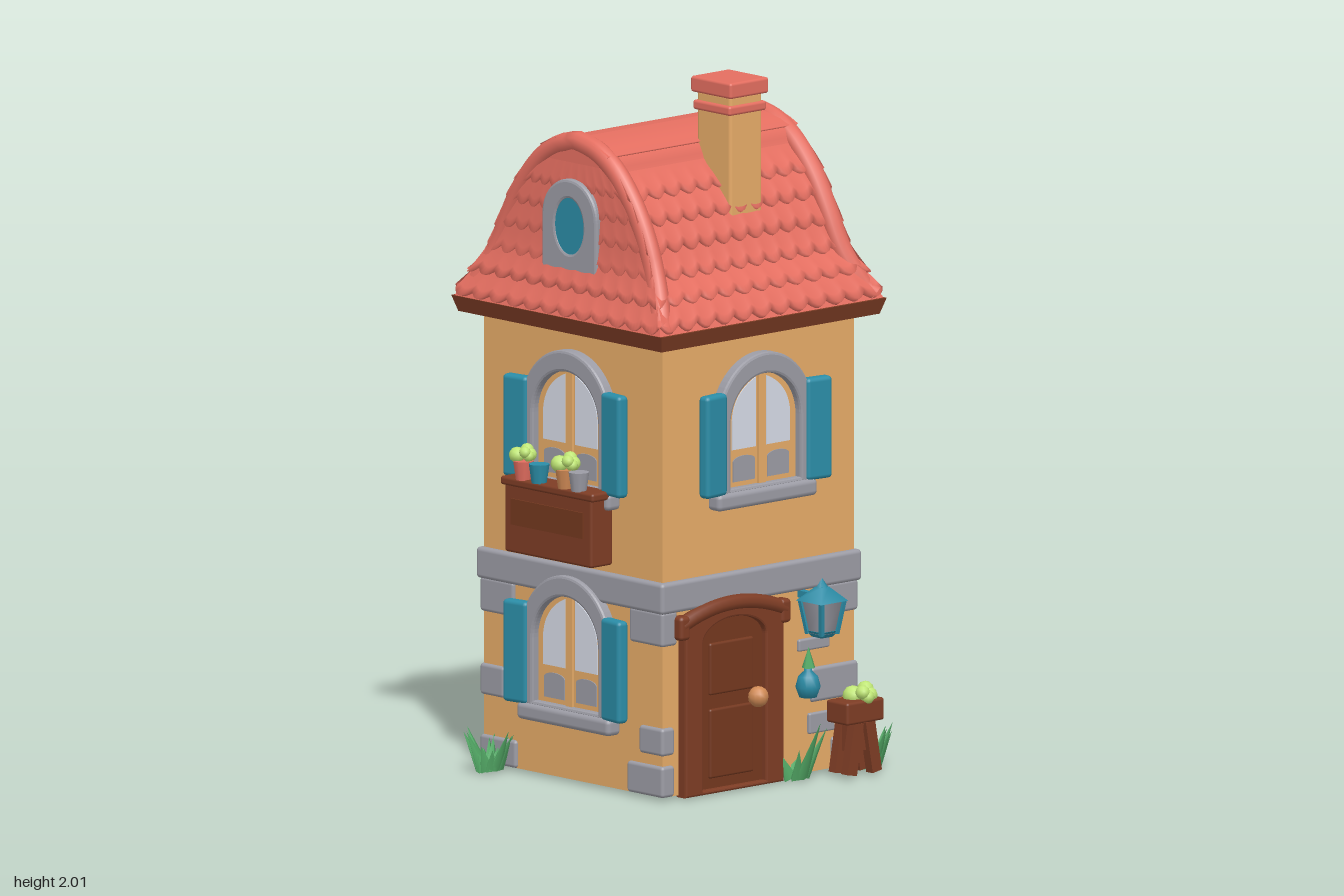
import * as THREE from 'three';
import { RoundedBoxGeometry } from 'three/addons/geometries/RoundedBoxGeometry.js';

const mat = (name, color, side = THREE.FrontSide) => {
  const m = new THREE.MeshStandardMaterial({ color, side });
  m.name = name;
  return m;
};
const M = {
  wall: mat('plaster', 0xf0b26c), roof: mat('roofRed', 0xe46e60, THREE.DoubleSide),
  stone: mat('stone', 0x9c9ca5), teal: mat('teal', 0x2b8da7), wood: mat('wood', 0x7e3d25),
  door: mat('darkWood', 0x74381f), glass: mat('glass', 0xdfe4f0), leaf: mat('leaf', 0x55ad68, THREE.DoubleSide),
  lime: mat('lime', 0xc4ec78), copper: mat('copper', 0xd08a55),
};

function add(parent, name, geo, material, x = 0, y = 0, z = 0) {
  const mesh = new THREE.Mesh(geo, material);
  mesh.name = name;
  mesh.position.set(x, y, z);
  parent.add(mesh);
  return mesh;
}
const rbox = (w, h, d, r = 0.012) => new RoundedBoxGeometry(w, h, d, 2, Math.min(r, w / 3, h / 3, d / 3));
const box = (w, h, d) => new THREE.BoxGeometry(w, h, d);
const group = (parent, name, x = 0, y = 0, z = 0) => {
  const g = new THREE.Group();
  g.name = name;
  g.position.set(x, y, z);
  parent.add(g);
  return g;
};

// Upright rectangle with an elliptical top
function arch(w, y0, spring, rise, Type = THREE.Shape) {
  const s = new Type();
  s.moveTo(-w, y0);
  s.lineTo(w, y0);
  s.lineTo(w, spring);
  s.absellipse(0, spring, w, rise, 0, Math.PI, false);
  s.closePath();
  return s;
}
const ellipse = (rx, ry, y, Type = THREE.Shape) => new Type().absellipse(0, y, rx, ry, 0, Math.PI * 2, false);
function extrude(shape, depth, bevel = 0, hole) {
  if (hole) shape.holes.push(hole);
  return new THREE.ExtrudeGeometry(shape, {
    depth, curveSegments: 18, bevelEnabled: bevel > 0, bevelSize: bevel, bevelThickness: bevel, bevelSegments: 2,
  });
}

// Arched window with shutters; y = 0 is the bottom of the shutters
function windowUnit(parent, y) {
  const g = group(parent, 'window', 0, y, 0.37);
  add(g, 'stoneArch', extrude(arch(0.178, 0, 0.19, 0.188), 0.026, 0.008, arch(0.143, 0.0, 0.19, 0.143, THREE.Path)), M.stone);
  add(g, 'windowFrame', extrude(arch(0.142, -0.01, 0.19, 0.142), 0.01), M.wall);
  for (const s of [-1, 1]) {
    const pane = new THREE.Shape();
    pane.moveTo(s * 0.02, 0.115);
    pane.lineTo(s * 0.112, 0.115);
    pane.lineTo(s * 0.112, 0.2);
    pane.quadraticCurveTo(s * 0.105, 0.28, s * 0.02, 0.315);
    pane.closePath();
    add(g, 'glassPane', extrude(pane, 0.004), M.glass, 0, 0, 0.009);
    add(g, 'lowerPanel', extrude(arch(0.042, 0.022, 0.08, 0.015), 0.004), M.stone, s * 0.066, 0, 0.009);
    const sh = add(g, 'shutter', rbox(0.09, 0.295, 0.038, 0.018), M.teal, s * 0.2, 0.142, 0.028);
    sh.rotation.y = s * -0.12;
  }
  add(g, 'mullion', box(0.026, 0.33, 0.018), M.wall, 0, 0.16, 0.009);
  add(g, 'sill', rbox(0.385, 0.05, 0.055, 0.015), M.stone, 0, -0.025, 0.018);
}

// Roof outline from eave to ridge: half width, height, half depth
const roofCurve = new THREE.CatmullRomCurve3([
  [0.432, 1.345, 0.427], [0.402, 1.415, 0.387], [0.378, 1.5, 0.342], [0.37, 1.6, 0.298],
  [0.368, 1.7, 0.24], [0.366, 1.79, 0.158], [0.365, 1.835, 0.08], [0.365, 1.85, 0],
].map((p) => new THREE.Vector3(...p)));

// One strip of roof on one side; its lower edge may be scalloped and lifted
function roofStrip(angle, gable, t0, t1, lift, scallop, shift) {
  const segV = lift ? 5 : 24;
  const geo = new THREE.PlaneGeometry(2, 1, 72, segV);
  const pos = geo.attributes.position;
  for (let i = 0; i < pos.count; i++) {
    const u = pos.getX(i);
    const row = Math.round((pos.getY(i) + 0.5) * segV);
    const v = lift ? Math.max(0, row - 1) / (segV - 1) : row / segV;
    const off = lift && row > 0 ? lift * (1 - v) : 0;
    const wave = scallop * (Math.abs(Math.sin((u * 6 + shift) * Math.PI)) - 0.4);
    const t = THREE.MathUtils.clamp(t0 + (t1 - t0) * v - wave * (1 - v), 0, 1);
    const p = roofCurve.getPointAt(t);
    // Slopes sink a little between the gable rims
    const sink = gable ? 0 : 0.024 * THREE.MathUtils.smoothstep(t, 0.1, 0.3) * (1 - THREE.MathUtils.smoothstep(t, 0.7, 0.8));
    const side = gable ? p.z : p.x, out = gable ? p.x : p.z;
    pos.setXYZ(i, u * (side + off * 0.3), p.y + off * (gable ? 0.2 : 0.6) - sink * 0.5, out + off * 0.8 - sink);
  }
  geo.rotateY(angle);
  geo.computeVertexNormals();
  return geo;
}

function tuft(parent, x, z, count, height) {
  const g = group(parent, 'grassTuft', x, 0, z);
  for (let i = 0; i < count; i++) {
    const a = i * 2.4, h = height * (0.7 + 0.3 * Math.cos(i * 1.7));
    const geo = new THREE.ConeGeometry(0.023, h, 5).scale(1, 1, 0.5).translate(0, h / 2, 0);
    const blade = add(g, 'blade', geo, M.leaf, Math.sin(a) * 0.024, 0, Math.cos(a) * 0.024);
    blade.rotation.set(Math.cos(a) * 0.45, 0, -Math.sin(a) * 0.45);
  }
}
function foliage(parent, x, y, z, r) {
  for (let i = 0; i < 5; i++) {
    add(parent, 'foliage', new THREE.IcosahedronGeometry(r * (0.6 + 0.12 * (i % 3)), 1), M.lime,
      x + Math.sin(i * 1.9) * r * 0.7, y + (i % 2) * r * 0.4, z + Math.cos(i * 1.9) * r * 0.7);
  }
}

export function createModel() {
  const model = new THREE.Group();
  model.name = 'cottage';
  const house = group(model, 'house', 0.02, 0, -0.04);

  // Walls and stone band
  add(house, 'walls', box(0.74, 1.32, 0.74), M.wall, 0, 0.66, 0);
  add(house, 'stoneBand', rbox(0.776, 0.09, 0.776), M.stone, 0, 0.575, 0);

  // Corner stones: side x, side z, height, length along x, along z, thickness
  for (const [sx, sz, y, wx, wz, h] of [
    [1, 1, 0.045, 0.1, 0.17, 0.09], [1, 1, 0.25, 0.18, 0.1, 0.1], [1, 1, 0.49, 0.15, 0.14, 0.09],
    [1, -1, 0.04, 0.1, 0.18, 0.08], [1, -1, 0.18, 0.03, 0.11, 0.24], [1, -1, 0.485, 0.1, 0.15, 0.11],
    [-1, -1, 0.04, 0.17, 0.15, 0.08], [-1, -1, 0.24, 0.2, 0.1, 0.09], [-1, -1, 0.485, 0.12, 0.14, 0.1],
    [-1, 1, 0.045, 0.05, 0.15, 0.09], [-1, 1, 0.16, 0.05, 0.1, 0.08], [-1, 1, 0.485, 0.06, 0.14, 0.1],
  ]) add(house, 'cornerStone', rbox(wx, h, wz, 0.01), M.stone, sx * (0.38 - wx / 2), y, sz * (0.38 - wz / 2));

  // Faces in order: front, right of view, back, left of view
  const faces = [0, 1, 2, 3].map((i) => {
    const f = group(house, ['frontFace', 'eastFace', 'backFace', 'westFace'][i]);
    f.rotation.y = i * Math.PI / 2;
    windowUnit(f, 0.855);
    if (i % 2) windowUnit(f, 0.205);
    return f;
  });
  for (const [i, u, y, w, h] of [[0, 0.21, 0.37, 0.12, 0.035], [0, 0.24, 0.14, 0.1, 0.06],
    [2, 0.18, 0.4, 0.16, 0.06], [2, 0.12, 0.15, 0.12, 0.06]]) {
    add(faces[i], 'wallStone', rbox(w, h, 0.02, 0.006), M.stone, u, y, 0.37);
  }

  // Roof shell, tile courses, ridge cap, gable rims and eave
  const roof = group(house, 'roof');
  for (let i = 0; i < 4; i++) {
    const a = i * Math.PI / 2, gable = i % 2 === 1;
    add(roof, 'roofShell', roofStrip(a, gable, 0, 1, 0, 0, 0), M.roof);
    for (let r = 0; r < 6; r++) {
      const t = 0.025 + r * 0.115;
      add(roof, 'tileCourse', roofStrip(a, gable, t, t + 0.13, gable && r > 1 ? 0.008 : 0.017, 0.035, r * 0.5), M.roof);
    }
    if (!gable) add(roof, 'ridgeCap', roofStrip(a, false, 0.8, 1, 0.01, 0, 0), M.roof);
  }
  for (const sx of [-1, 1]) {
    const half = roofCurve.getSpacedPoints(16).map((p) => new THREE.Vector3(sx * (p.x - 0.02), p.y - 0.012, p.z - 0.014));
    half[0].y += 0.018;
    const rim = half.concat(half.slice(0, -1).reverse().map((p) => new THREE.Vector3(p.x, p.y, -p.z)));
    add(roof, 'gableRim', new THREE.TubeGeometry(new THREE.CatmullRomCurve3(rim), 60, 0.03, 10), M.roof);
  }
  const eave = new THREE.CylinderGeometry(0.436 * Math.SQRT2, 0.422 * Math.SQRT2, 0.046, 4).rotateY(Math.PI / 4).toNonIndexed();
  eave.computeVertexNormals();
  add(roof, 'eaveBoard', eave, M.wood, 0, 1.322, 0);

  // Attic windows in both gables
  for (const f of [faces[1], faces[3]]) {
    add(f, 'atticFrame', extrude(arch(0.105, 1.465, 1.62, 0.105), 0.04, 0.008, ellipse(0.066, 0.088, 1.598, THREE.Path)), M.stone, 0, 0, 0.341);
    add(f, 'atticGlass', extrude(ellipse(0.07, 0.092, 1.598), 0.008), M.teal, 0, 0, 0.377);
  }

  // Chimney
  const chimney = group(model, 'chimney', 0.073, 0, 0.155);
  add(chimney, 'shaft', rbox(0.125, 0.4, 0.14, 0.01), M.wall, 0, 1.76, 0);
  add(chimney, 'lowerCap', rbox(0.145, 0.028, 0.155, 0.008), M.roof, 0, 1.918, 0);
  add(chimney, 'neck', box(0.12, 0.04, 0.13), M.wall, 0, 1.942, 0);
  add(chimney, 'topCap', rbox(0.15, 0.046, 0.168, 0.008), M.roof, 0, 1.977, 0);

  // Front door
  const door = group(faces[0], 'frontDoor', -0.118, 0, 0.365);
  add(door, 'doorFrame', extrude(arch(0.185, 0, 0.46, 0.075), 0.03, 0.006, arch(0.128, 0, 0.43, 0.07, THREE.Path)), M.wood);
  add(door, 'doorLeaf', extrude(arch(0.13, 0, 0.43, 0.072), 0.016), M.door);
  for (const [y, h] of [[0.135, 0.2], [0.35, 0.15]]) add(door, 'doorPanel', rbox(0.17, h, 0.02, 0.008), M.door, 0, y, 0.014);
  const lintel = new THREE.QuadraticBezierCurve3(new THREE.Vector3(-0.2, 0.49, 0), new THREE.Vector3(0, 0.575, 0), new THREE.Vector3(0.2, 0.49, 0));
  add(door, 'lintel', new THREE.TubeGeometry(lintel, 16, 0.023, 8), M.wood, 0, 0, 0.022);
  for (const s of [-1, 1]) add(door, 'lintelEnd', rbox(0.04, 0.07, 0.045), M.wood, s * 0.195, 0.485, 0.02);
  add(door, 'handle', new THREE.SphereGeometry(0.03, 12, 8), M.copper, 0.095, 0.25, 0.03);

  // Wall lantern
  const lantern = group(model, 'lantern', 0.182, 0, 0.422);
  add(lantern, 'bracket', box(0.02, 0.02, 0.09), M.teal, 0, 0.52, -0.05);
  add(lantern, 'lanternRoof', new THREE.CylinderGeometry(0.02, 0.074, 0.04, 4).rotateY(Math.PI / 4), M.teal, 0, 0.532, 0);
  add(lantern, 'finial', new THREE.ConeGeometry(0.02, 0.03, 6), M.teal, 0, 0.562, 0);
  add(lantern, 'lanternGlass', new THREE.CylinderGeometry(0.06, 0.04, 0.095, 4).rotateY(Math.PI / 4), M.stone, 0, 0.466, 0);
  add(lantern, 'lanternBase', new THREE.CylinderGeometry(0.046, 0.03, 0.018, 4).rotateY(Math.PI / 4), M.teal, 0, 0.417, 0);
  for (const sx of [-1, 1]) for (const sz of [-1, 1]) {
    const bar = add(lantern, 'lanternBar', box(0.012, 0.1, 0.012), M.teal, sx * 0.036, 0.466, sz * 0.036);
    bar.rotation.set(sz * 0.15, 0, -sx * 0.15);
  }

  // Hanging vase with a sprig
  const vase = [[0, 0.22], [0.025, 0.225], [0.036, 0.255], [0.028, 0.285], [0.012, 0.3], [0.012, 0.33], [0, 0.33]];
  add(model, 'hangingVase', new THREE.LatheGeometry(vase.map((p) => new THREE.Vector2(...p)), 14), M.teal, 0.185, 0, 0.36);
  add(model, 'sprig', new THREE.ConeGeometry(0.02, 0.06, 5), M.leaf, 0.183, 0.34, 0.365);

  // Planter stand by the door
  const stand = group(model, 'planterStand', 0.312, 0, 0.42);
  add(stand, 'tray', rbox(0.145, 0.065, 0.09, 0.008), M.wood, 0, 0.18, 0);
  for (const sx of [-1, 1]) for (const sz of [-1, 1]) {
    add(stand, 'leg', box(0.036, 0.15, 0.028), M.wood, sx * 0.035, 0.075, sz * 0.026).rotation.z = sx * 0.18;
  }
  add(stand, 'brace', box(0.08, 0.09, 0.05), M.wood, 0, 0.11, 0);
  foliage(stand, 0.012, 0.22, 0.012, 0.035);

  // Flower box under the west window
  const planter = group(model, 'flowerBox', -0.402, 0, -0.045);
  add(planter, 'boxBody', rbox(0.085, 0.205, 0.36, 0.008), M.wood, 0, 0.748, 0);
  add(planter, 'boxRim', rbox(0.098, 0.025, 0.385, 0.008), M.wood, 0, 0.85, 0);
  add(planter, 'boxPlank', box(0.008, 0.075, 0.3), M.door, -0.043, 0.765, 0);
  for (const [z, m] of [[-0.11, M.roof], [-0.045, M.teal], [0.065, M.copper], [0.12, M.stone]]) {
    add(planter, 'flowerPot', new THREE.CylinderGeometry(0.03, 0.022, 0.055, 10), m, -0.034, 0.888, z);
  }
  foliage(planter, -0.028, 0.93, -0.115, 0.028);
  foliage(planter, -0.03, 0.93, 0.065, 0.03);

  // Grass
  tuft(model, 0.41, 0.365, 20, 0.13);
  tuft(model, -0.405, -0.33, 18, 0.13);
  tuft(model, 0.41, -0.41, 5, 0.09);
  tuft(model, 0.14, 0.355, 6, 0.19);
  return model;
}
